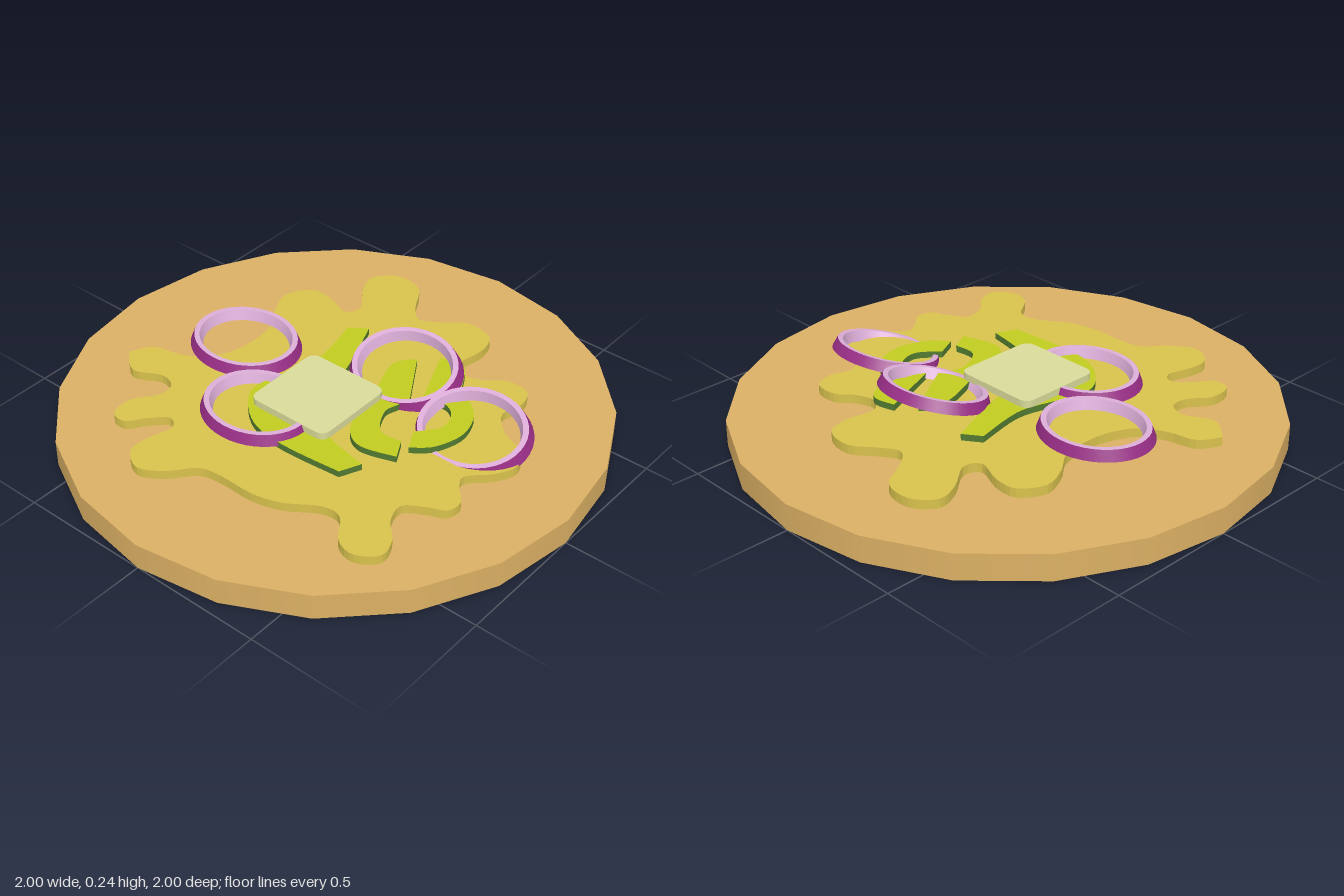
import * as THREE from 'three';

const mat = (name, color) => new THREE.MeshStandardMaterial({ name, color });

// Points are [x, z] on the plan; each run becomes one smooth spline, and runs are joined by straight cuts
const toVectors = (run) => run.map(([x, z]) => new THREE.Vector2(x, -z));

function slab(name, shape, bottom, top, materials, curveSegments) {
  const geometry = new THREE.ExtrudeGeometry(shape, { depth: top - bottom, bevelEnabled: false, curveSegments });
  geometry.rotateX(-Math.PI / 2);
  const mesh = new THREE.Mesh(geometry, materials);
  mesh.name = name;
  mesh.position.y = bottom;
  return mesh;
}

function closedBlob(points) {
  const curve = new THREE.SplineCurve(toVectors([...points, points[0]]));
  return new THREE.Shape(curve.getPoints(points.length * 4).slice(0, -1));
}

function halfRing(outer, inner) {
  const a = new THREE.SplineCurve(toVectors(outer)).getPoints(32);
  const b = new THREE.SplineCurve(toVectors(inner)).getPoints(24);
  return new THREE.Shape([...a, ...b]);
}

export function createModel() {
  const group = new THREE.Group();
  group.name = 'flatbread';
  const bread = mat('bread', 0xdbb064);
  const spread = mat('spread', 0xd8c24d);
  const pepperFlesh = mat('pepper flesh', 0xc0cc22);
  const pepperSkin = mat('pepper skin', 0x527a30);
  const cheese = mat('cheese', 0xd8da9a);
  const onionSkin = mat('onion skin', 0x982e86);
  const onionFlesh = mat('onion flesh', 0xdcaed8);

  // Bread disc
  const base = new THREE.Mesh(new THREE.CylinderGeometry(1, 1, 0.1, 20), bread);
  base.name = 'breadBase';
  base.position.y = 0.05;
  group.add(base);

  // Spread with an irregular lobed edge
  const lobes = [
    [-0.3, -0.74], [-0.22, -0.69], [-0.19, -0.58], [-0.13, -0.49], [0, -0.44], [0.16, -0.45], [0.25, -0.51],
    [0.35, -0.545], [0.44, -0.49], [0.445, -0.4], [0.41, -0.3], [0.47, -0.27], [0.57, -0.34], [0.66, -0.365],
    [0.73, -0.29], [0.715, -0.18], [0.605, -0.11], [0.55, -0.05], [0.585, 0.02], [0.65, 0.11], [0.63, 0.22],
    [0.54, 0.25], [0.43, 0.235], [0.38, 0.29], [0.4, 0.365], [0.45, 0.43], [0.445, 0.52], [0.37, 0.55],
    [0.28, 0.53], [0.2, 0.6], [0.16, 0.69], [0.085, 0.735], [0, 0.7], [-0.075, 0.63], [-0.13, 0.65],
    [-0.19, 0.7], [-0.25, 0.69], [-0.28, 0.63], [-0.33, 0.56], [-0.41, 0.58], [-0.475, 0.64], [-0.555, 0.66],
    [-0.61, 0.59], [-0.59, 0.51], [-0.5, 0.44], [-0.5, 0.36], [-0.57, 0.25], [-0.6, 0.14], [-0.6, 0],
    [-0.62, -0.085], [-0.7, -0.155], [-0.75, -0.245], [-0.7, -0.325], [-0.62, -0.33], [-0.52, -0.305],
    [-0.485, -0.35], [-0.54, -0.41], [-0.6, -0.455], [-0.59, -0.52], [-0.5, -0.53], [-0.42, -0.475],
    [-0.35, -0.475], [-0.325, -0.545], [-0.37, -0.65],
  ];
  group.add(slab('spread', closedBlob(lobes), 0.1, 0.135, spread));

  // Green pepper half rings: outer edge, then inner edge back
  const peppers = [
    [
      [[-0.35, 0.31], [-0.365, 0.06], [-0.33, -0.1], [-0.21, -0.215], [-0.07, -0.2], [0.1, -0.16], [0.31, -0.2]],
      [[0.355, -0.135], [0.17, -0.06], [0.07, -0.03], [-0.08, 0], [-0.19, 0.08], [-0.24, 0.2], [-0.27, 0.345]],
    ],
    [
      [[-0.165, 0.41], [-0.2, 0.27], [-0.13, 0.18], [0.03, 0.14], [0.23, 0.07], [0.32, 0.12]],
      [[0.11, 0.25], [0.06, 0.235], [0, 0.225], [-0.09, 0.28], [-0.09, 0.37]],
    ],
    [
      [[0.38, 0.18], [0.39, 0.28], [0.27, 0.36], [0.23, 0.43], [0.17, 0.485], [0.07, 0.51], [-0.04, 0.475], [-0.1, 0.41]],
      [[-0.02, 0.37], [0.06, 0.43], [0.14, 0.41], [0.17, 0.35], [0.12, 0.29]],
    ],
  ];
  peppers.forEach(([outer, inner], i) =>
    group.add(slab(`pepperSlice${i + 1}`, halfRing(outer, inner), 0.135, 0.16, [pepperFlesh, pepperSkin])));

  // Square cheese slice with rounded corners
  const [x0, x1, h, r] = [-0.265, 0.075, 0.17, 0.04];
  const square = new THREE.Shape();
  square.moveTo(x0 + r, -h);
  square.lineTo(x1 - r, -h);
  square.quadraticCurveTo(x1, -h, x1, -h + r);
  square.lineTo(x1, h - r);
  square.quadraticCurveTo(x1, h, x1 - r, h);
  square.lineTo(x0 + r, h);
  square.quadraticCurveTo(x0, h, x0, h - r);
  square.lineTo(x0, -h + r);
  square.quadraticCurveTo(x0, -h, x0 + r, -h);
  group.add(slab('cheeseSlice', square, 0.16, 0.187, cheese, 6));

  // Onion rings: tapered oval bands, one lathe per face so the edges stay crisp
  const profile = [[0.19, 0], [0.176, 0.04], [0.158, 0.04], [0.147, 0], [0.19, 0]].map(([x, y]) => new THREE.Vector2(x, y));
  const faces = ['outerSkin', 'topRim', 'innerWall', 'underside'];
  const rings = [
    [0, 0.146, -0.43, 0],
    [-0.265, 0.146, -0.13, 0],
    [0.23, 0.163, 0.14, 0.245],
    [0.125, 0.137, 0.52, 0.245],
  ];
  rings.forEach(([x, y, z, tilt], i) => {
    const ring = new THREE.Group();
    ring.name = `onionRing${i + 1}`;
    faces.forEach((name, k) => {
      const face = new THREE.Mesh(new THREE.LatheGeometry([profile[k], profile[k + 1]], 40), k ? onionFlesh : onionSkin);
      face.name = name;
      ring.add(face);
    });
    ring.position.set(x, y, z);
    ring.rotation.z = tilt;
    ring.scale.z = 1.15;
    group.add(ring);
  });

  return group;
}
